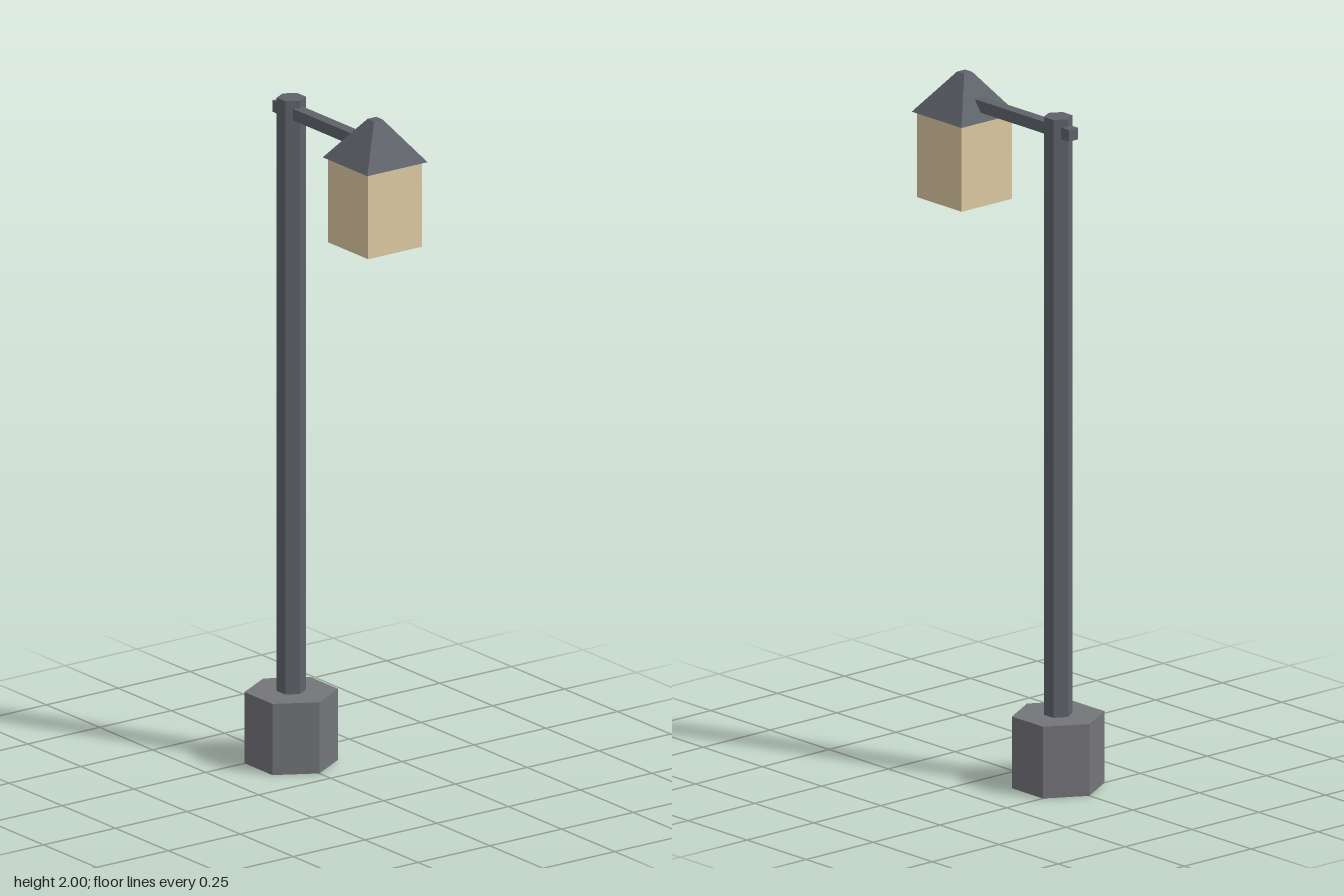
import * as THREE from 'three';

const mat = (color) => new THREE.MeshStandardMaterial({ color, flatShading: true });

export function createModel() {
  const model = new THREE.Group();
  const stone = mat(0x74757a);
  const metal = mat(0x5f636a);
  const glow = mat(0xdcc9a3);
  const postX = -0.185, lampX = 0.21;

  const add = (name, geometry, material, x, y) => {
    const mesh = new THREE.Mesh(geometry, material);
    mesh.name = name;
    mesh.position.set(x, y, 0);
    model.add(mesh);
  };

  // Six-sided prism with corners pointing along x, standing on y0
  const hexPrism = (name, radius, y0, y1, material) => {
    const geometry = new THREE.CylinderGeometry(radius, radius, y1 - y0, 6).rotateY(Math.PI / 2);
    add(name, geometry, material, postX, (y0 + y1) / 2);
  };
  hexPrism('base', 0.132, 0, 0.21, stone);
  hexPrism('post', 0.041, 0.21, 1.96, metal);

  // Arm runs through the post and into the lantern roof
  const armStart = -0.25;
  add('arm', new THREE.BoxGeometry(lampX - armStart, 0.034, 0.034), metal, (armStart + lampX) / 2, 1.92);

  // Lantern body
  add('lantern', new THREE.BoxGeometry(0.188, 0.25, 0.188), glow, lampX, 1.755);

  // Square hipped roof with a tiny flat top
  const roof = new THREE.CylinderGeometry(0.015 * Math.SQRT2, 0.105 * Math.SQRT2, 0.12, 4).rotateY(Math.PI / 4);
  add('lanternRoof', roof, metal, lampX, 1.94);

  return model;
}
